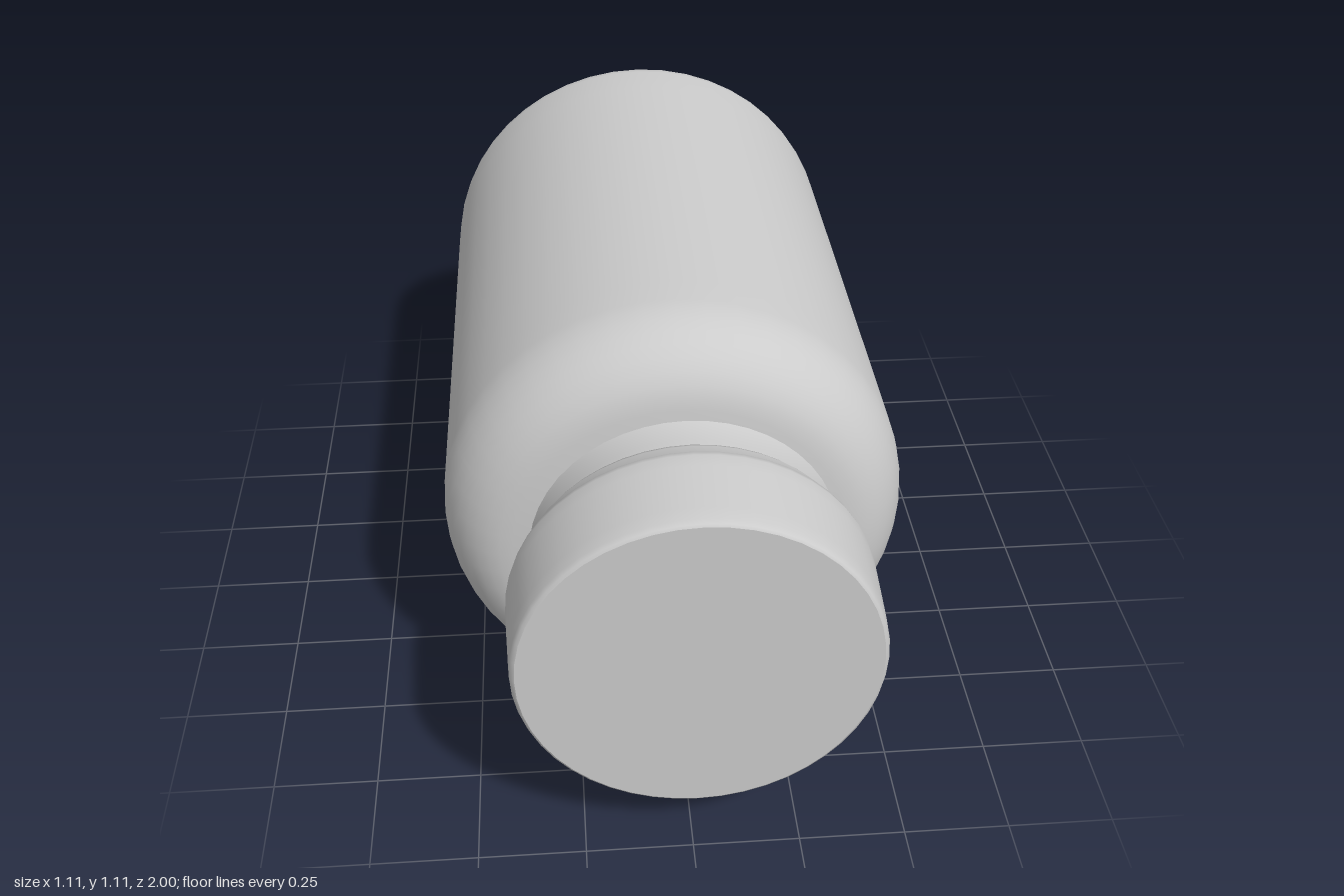
import * as THREE from 'three';

const material = new THREE.MeshStandardMaterial({ color: 0xcccccc });

// Turns a profile of [radius, z] points, listed back to front, around the z axis.
function turned(name, profile) {
  const points = profile.map(([r, z]) => new THREE.Vector2(r, z));
  const geometry = new THREE.LatheGeometry(points, 48);
  geometry.rotateX(Math.PI / 2);
  const mesh = new THREE.Mesh(geometry, material);
  mesh.name = name;
  return mesh;
}

// Points of a rounded corner, an elliptical quarter arc.
function corner(r, z, radiusR, radiusZ, from, to, steps = 6) {
  return Array.from({ length: steps + 1 }, (_, i) => {
    const a = THREE.MathUtils.degToRad(from + ((to - from) * i) / steps);
    return [r + radiusR * Math.cos(a), z + radiusZ * Math.sin(a)];
  });
}

export function createModel() {
  const bottle = new THREE.Group();
  bottle.name = 'bottle';

  // Body: shallow hollow base, rounded heel, straight wall, round shoulder
  const body = turned('body', [
    [0, -0.955], [0.3, -0.958], [0.39, -0.968], [0.43, -0.985],
    ...corner(0.47, -0.91, 0.086, 0.09, -100, 0),
    [0.557, -0.8], [0.557, 0.3],
    ...corner(0.38, 0.38, 0.177, 0.205, 0, 86, 9),
    [0.35, 0.59],
  ]);
  body.position.y = 0.557;

  // Lying bottle's neck and cap sit slightly off the body axis
  const top = new THREE.Group();
  top.name = 'neckAndCap';
  top.position.set(0.01, 0.56, 0);

  const neck = turned('neck', [[0.37, 0.57], [0.36, 0.6], [0.358, 0.65], [0.36, 0.72]]);

  // Cap: stepped lower ring, nearly straight side, flat face
  const cap = turned('cap', [
    [0.34, 0.69], [0.365, 0.692], [0.385, 0.705], [0.393, 0.72],
    [0.399, 0.75], [0.414, 0.768], [0.418, 0.785], [0.417, 0.82],
    [0.411, 0.95], [0.409, 0.985], [0.404, 0.996], [0.397, 1],
  ]);
  const capFace = turned('capFace', [[0.398, 1], [0, 1]]);

  top.add(neck, cap, capFace);
  bottle.add(body, top);
  return bottle;
}
